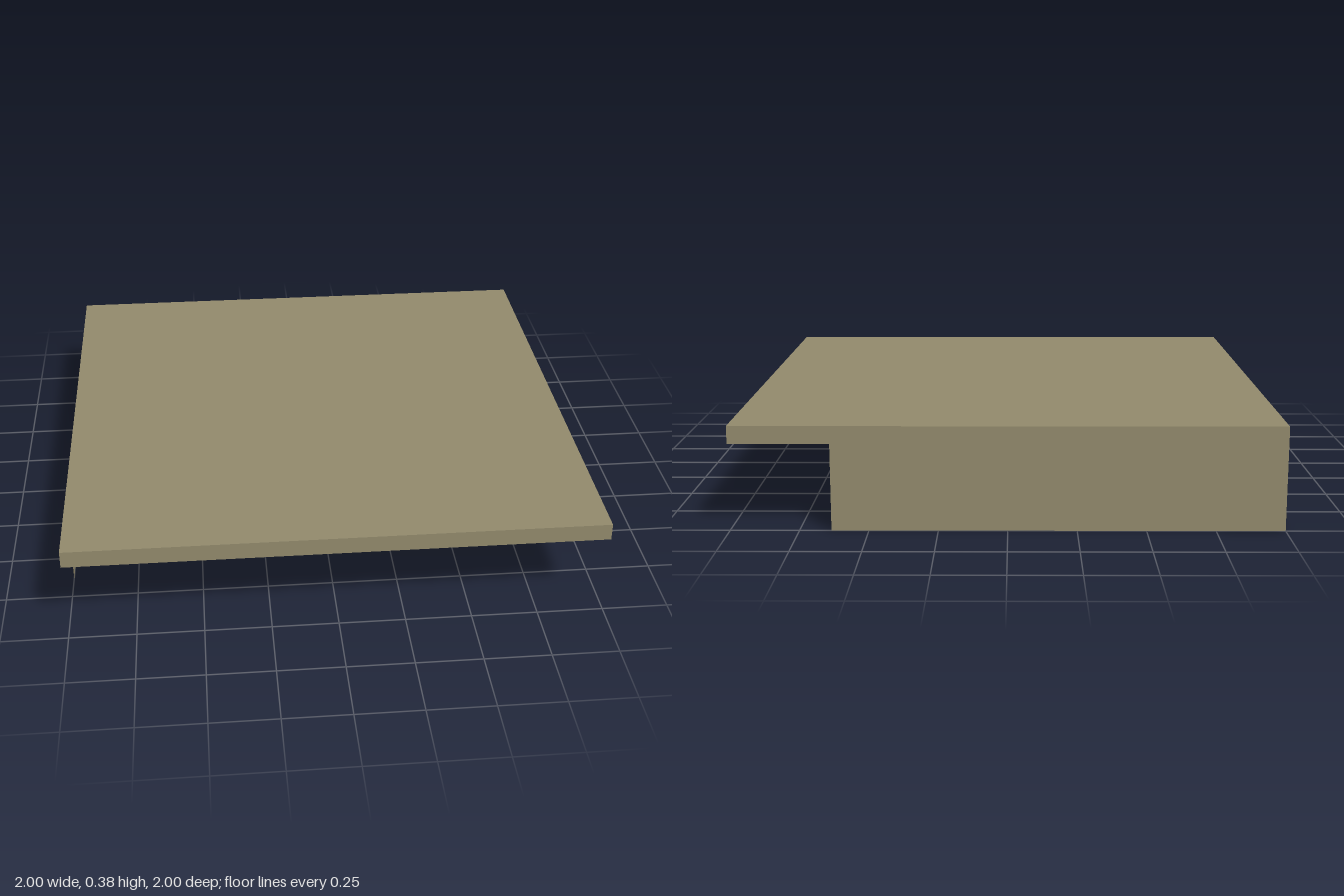
import * as THREE from 'three';

const TOP = 0.385;   // height of the top sheet
const RIM = 0.32;    // lower edge of the rim
const NOTCH = 0.635; // where the tall walls stop

export function createModel() {
  const group = new THREE.Group();
  const olive = new THREE.MeshStandardMaterial({ color: 0x91896b, side: THREE.DoubleSide });
  olive.name = 'olive';

  const add = (name, geometry) => {
    const mesh = new THREE.Mesh(geometry, olive);
    mesh.name = name;
    group.add(mesh);
    return mesh;
  };

  // Upright sheet, 2 wide, facing +z; the outline is given as [x, y] corners
  const sheet = (corners) =>
    new THREE.ShapeGeometry(new THREE.Shape(corners.map(([x, y]) => new THREE.Vector2(x, y))));

  const strip = [[-1, RIM], [1, RIM], [1, TOP], [-1, TOP]];
  // Rim strip with a deep wall below it, short of the local left end
  const deep = [[-NOTCH, 0], [1, 0], [1, TOP], [-1, TOP], [-1, RIM], [-NOTCH, RIM]];
  const deepMirrored = deep.map(([x, y]) => [-x, y]).reverse();

  // Flat top
  add('top', new THREE.PlaneGeometry(2, 2).rotateX(-Math.PI / 2).translate(0, TOP, 0));

  // Four sides, each turned to face outward
  [
    ['frontRim', strip, 0],
    ['leftRim', strip, Math.PI / 2],
    ['backWall', deep, Math.PI],
    ['rightWall', deepMirrored, -Math.PI / 2],
  ].forEach(([name, corners, turn]) => {
    add(name, sheet(corners).translate(0, 0, 1).rotateY(turn));
  });

  return group;
}
